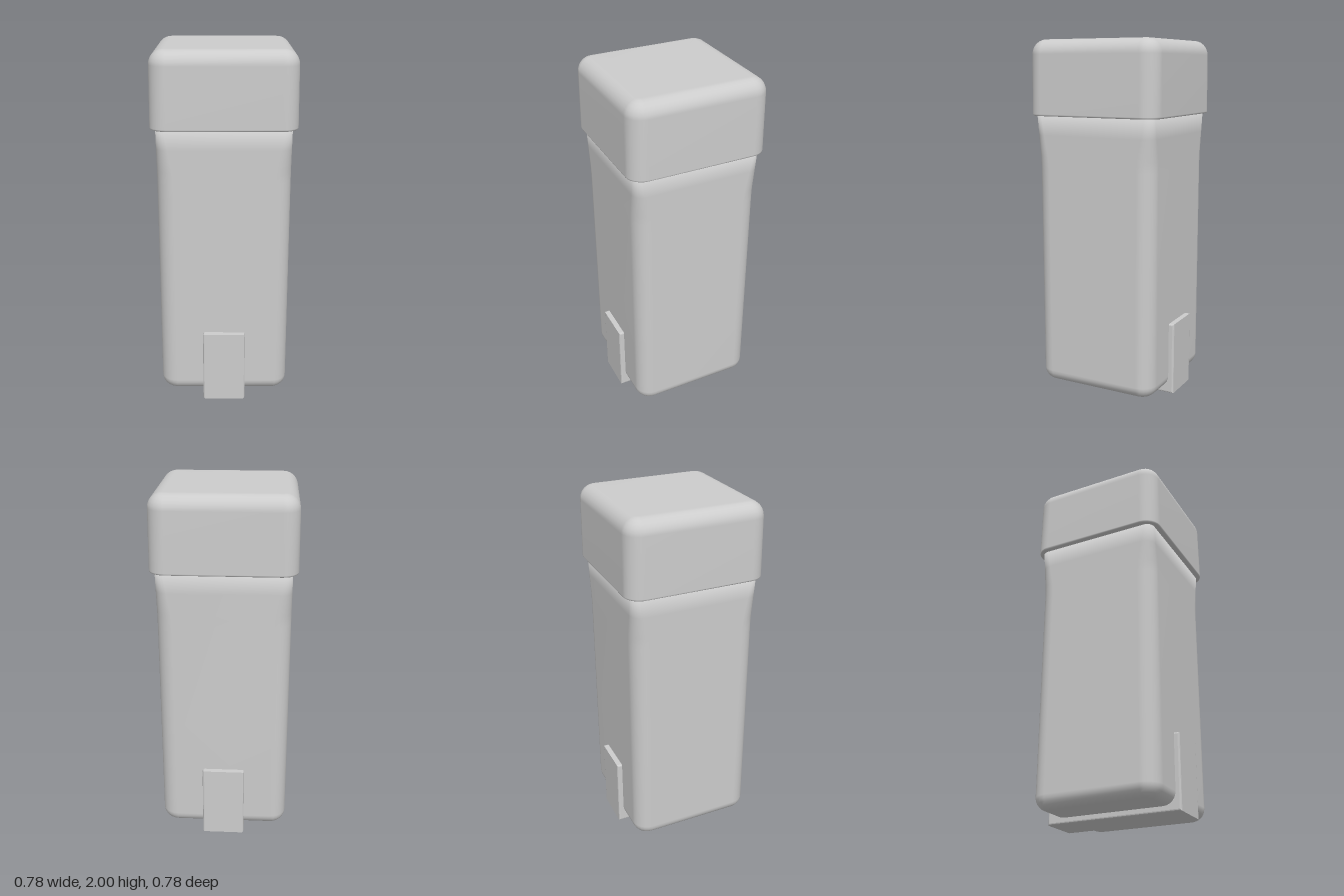
import * as THREE from 'three';

const CORNER = 7; // points per rounded corner

// Rounded-square outline of half-width h and corner radius r
function ring(y, h, r) {
  const pts = [];
  for (let q = 0; q < 4; q++) {
    const mid = (q + 0.5) * Math.PI / 2;
    const cx = Math.sign(Math.cos(mid)) * (h - r);
    const cz = Math.sign(Math.sin(mid)) * (h - r);
    for (let i = 0; i < CORNER; i++) {
      const a = (q + i / (CORNER - 1)) * Math.PI / 2;
      pts.push(cx + r * Math.cos(a), y, cz + r * Math.sin(a));
    }
  }
  return pts;
}

// Closed smooth skin over a stack of [y, halfWidth, cornerRadius] sections, bottom to top
function loft(sections) {
  const n = CORNER * 4, pos = [], idx = [];
  sections.forEach(s => pos.push(...ring(...s)));
  const last = sections.length - 1, bottom = n * sections.length, top = bottom + 1;
  pos.push(0, sections[0][0], 0, 0, sections[last][0], 0);
  for (let j = 0; j < n; j++) {
    const k = (j + 1) % n;
    for (let i = 0; i < last; i++) {
      const a = i * n + j, b = i * n + k;
      idx.push(a, a + n, b, b, a + n, b + n);
    }
    idx.push(bottom, j, k, top, last * n + k, last * n + j);
  }
  const g = new THREE.BufferGeometry();
  g.setAttribute('position', new THREE.Float32BufferAttribute(pos, 3));
  g.setIndex(idx);
  g.computeVertexNormals();
  return g;
}

export function createModel() {
  const group = new THREE.Group();
  const grey = new THREE.MeshStandardMaterial({ color: 0xcccccc });
  grey.name = 'light grey';
  const add = (name, geometry) => {
    const mesh = new THREE.Mesh(geometry, grey);
    mesh.name = name;
    group.add(mesh);
    return mesh;
  };
  const STEPS = 6;

  // Body: rounded foot, straight sides, corners tightening towards the cap
  const body = [], foot = 0.07;
  for (let i = 0; i <= STEPS; i++) {
    const a = i / STEPS * Math.PI / 2, inset = foot * (1 - Math.sin(a));
    body.push([0.037 + foot * (1 - Math.cos(a)), 0.361 - inset, 0.09 - inset]);
  }
  body.push([0.7, 0.361, 0.09], [1.3, 0.361, 0.09], [1.36, 0.361, 0.085],
    [1.48, 0.361, 0.063], [1.6, 0.361, 0.042]);
  add('body', loft(body));

  // Cap: nearly sharp lower rim and softly rounded top
  const edge = 0.08;
  const cap = [[1.587, 0.385, 0.082], [1.59, 0.39, 0.087], [1.597, 0.392, 0.09]];
  for (let i = 0; i <= STEPS; i++) {
    const a = i / STEPS * Math.PI / 2, inset = edge * (1 - Math.cos(a));
    cap.push([2 - edge * (1 - Math.sin(a)), 0.389 - inset, 0.09 - inset]);
  }
  add('cap', loft(cap));

  // Strap: U-shaped clip running under the body and up its front and back
  const bevel = 0.01, out = 0.391 - bevel, inn = 0.34, low = 0.005 + bevel, high = 0.42 - bevel;
  const u = new THREE.Shape([
    [-out, low], [out, low], [out, high], [inn, high], [inn, 0.07],
    [-inn, 0.07], [-inn, high], [-out, high],
  ].map(p => new THREE.Vector2(...p)));
  const width = 0.238;
  const strap = new THREE.ExtrudeGeometry(u, {
    depth: width - 2 * bevel, bevelEnabled: true, bevelSize: bevel, bevelThickness: bevel, bevelSegments: 3,
  });
  strap.translate(0, 0, bevel - width / 2);
  strap.rotateY(Math.PI / 2);
  add('strap', strap);

  return group;
}
